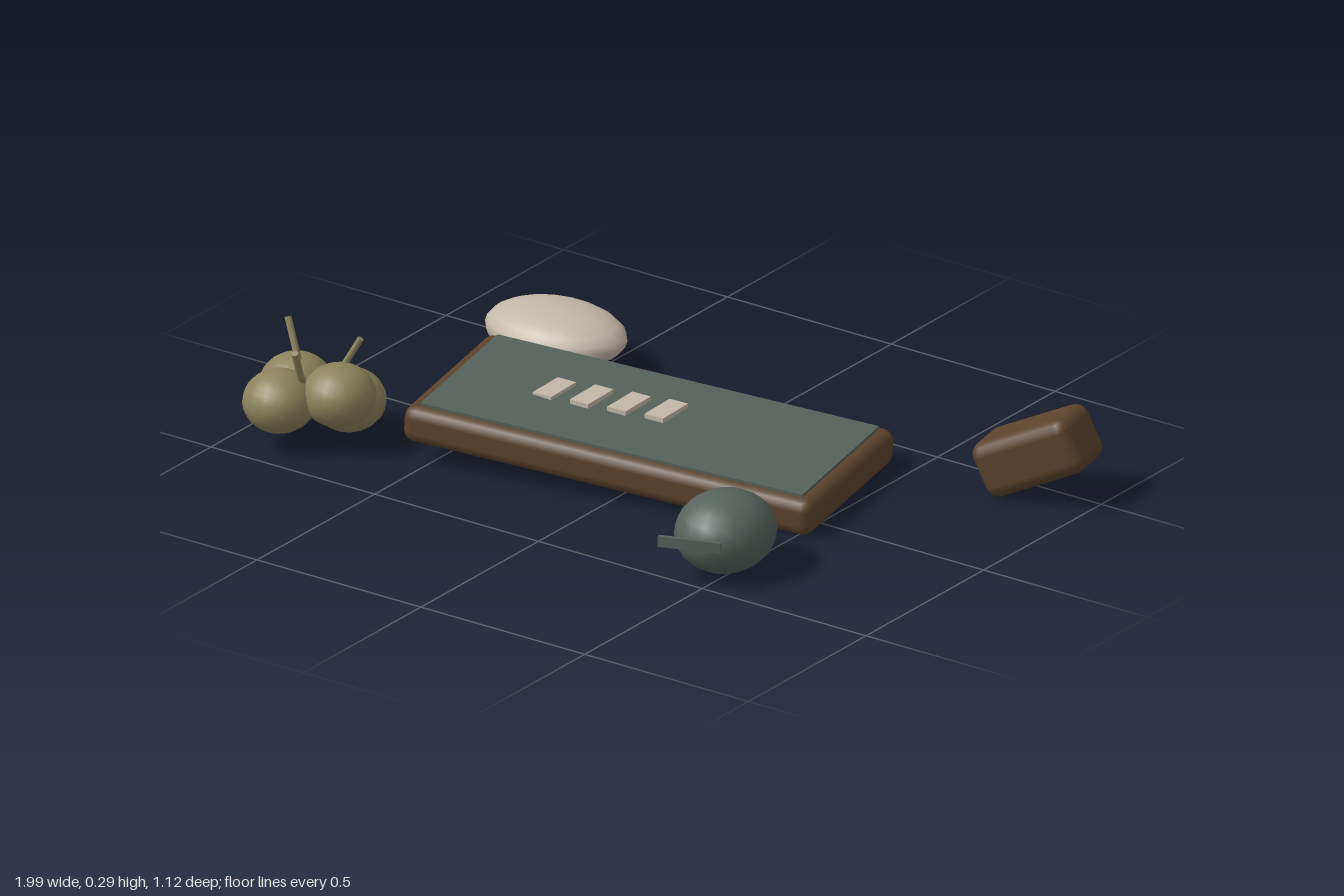
import * as THREE from 'three';
import { RoundedBoxGeometry } from 'three/addons/geometries/RoundedBoxGeometry.js';

const material = (name, color) => {
  const m = new THREE.MeshStandardMaterial({ color });
  m.name = name;
  return m;
};

export function createModel() {
  const wood = material('dark wood', 0x5c432c);
  const slate = material('slate green', 0x56625c);
  const olive = material('olive', 0x8b835b);
  const bone = material('pale stone', 0xc2b8a8);
  const model = new THREE.Group();
  model.name = 'boardAndProduce';

  const add = (parent, name, geometry, mat, pos, rot = [0, 0, 0]) => {
    const mesh = new THREE.Mesh(geometry, mat);
    mesh.name = name;
    mesh.position.set(...pos);
    mesh.rotation.set(...rot);
    parent.add(mesh);
    return mesh;
  };
  const ellipsoid = (rx, ry, rz) => new THREE.SphereGeometry(1, 18, 12).scale(rx, ry, rz);

  // Tilted wooden board with a slate panel set on top
  const board = new THREE.Group();
  board.name = 'board';
  board.position.set(-0.055, 0.088, -0.045);
  board.rotation.set(0, 0.2, -0.06);
  model.add(board);
  add(board, 'woodenFrame', new RoundedBoxGeometry(1.115, 0.097, 0.525, 2, 0.03), wood, [0, 0, 0]);
  add(board, 'slatePanel', new THREE.BoxGeometry(1.04, 0.02, 0.465), slate, [0, 0.046, 0]);

  // Row of four small level tiles
  for (let i = 0; i < 4; i++) {
    add(model, 'tile' + (i + 1), new THREE.BoxGeometry(0.055, 0.012, 0.112), bone,
      [-0.312 + i * 0.101, 0.161, -0.002 - i * 0.018], [0, 0.03, 0]);
  }

  // Pale flat stone behind the board
  add(model, 'paleStone', ellipsoid(0.195, 0.07, 0.14), bone, [-0.592, 0.107, -0.4]);

  // Tipped wooden block
  add(model, 'woodenBlock', new RoundedBoxGeometry(0.29, 0.15, 0.165, 2, 0.035), wood,
    [0.835, 0.127, -0.458], [0, 0.19, 0.45]);

  // Dark fruit with a flat stalk
  add(model, 'darkFruit', ellipsoid(0.124, 0.103, 0.137), slate, [0.48, 0.115, 0.373]);
  add(model, 'fruitStalk', new THREE.BoxGeometry(0.162, 0.028, 0.012), slate,
    [0.478, 0.13, 0.523], [0, 0.34, 0]);

  // Cluster of olives
  const cluster = new THREE.Group();
  cluster.name = 'oliveCluster';
  model.add(cluster);
  [[-0.908, 0.12, 0.265], [-0.768, 0.102, 0.235], [-0.736, 0.153, 0.322], [-0.862, 0.133, 0.4]]
    .forEach((p, i) => add(cluster, 'olive' + (i + 1), ellipsoid(0.093, 0.08, 0.095), olive, p));

  // Thin stems leaning outward from the cluster
  [
    [[-0.88, 0.17, 0.285], [-0.94, 0.29, 0.256]],
    [[-0.81, 0.17, 0.37], [-0.792, 0.29, 0.433]],
    [[-0.765, 0.19, 0.285], [-0.713, 0.29, 0.263]],
  ].forEach(([a, b], i) => {
    const from = new THREE.Vector3(...a), to = new THREE.Vector3(...b);
    const dir = to.clone().sub(from);
    const mid = from.clone().add(to).multiplyScalar(0.5);
    const stem = add(cluster, 'stem' + (i + 1),
      new THREE.CylinderGeometry(0.009, 0.009, dir.length(), 8), olive, mid.toArray());
    stem.quaternion.setFromUnitVectors(new THREE.Vector3(0, 1, 0), dir.normalize());
  });

  return model;
}
